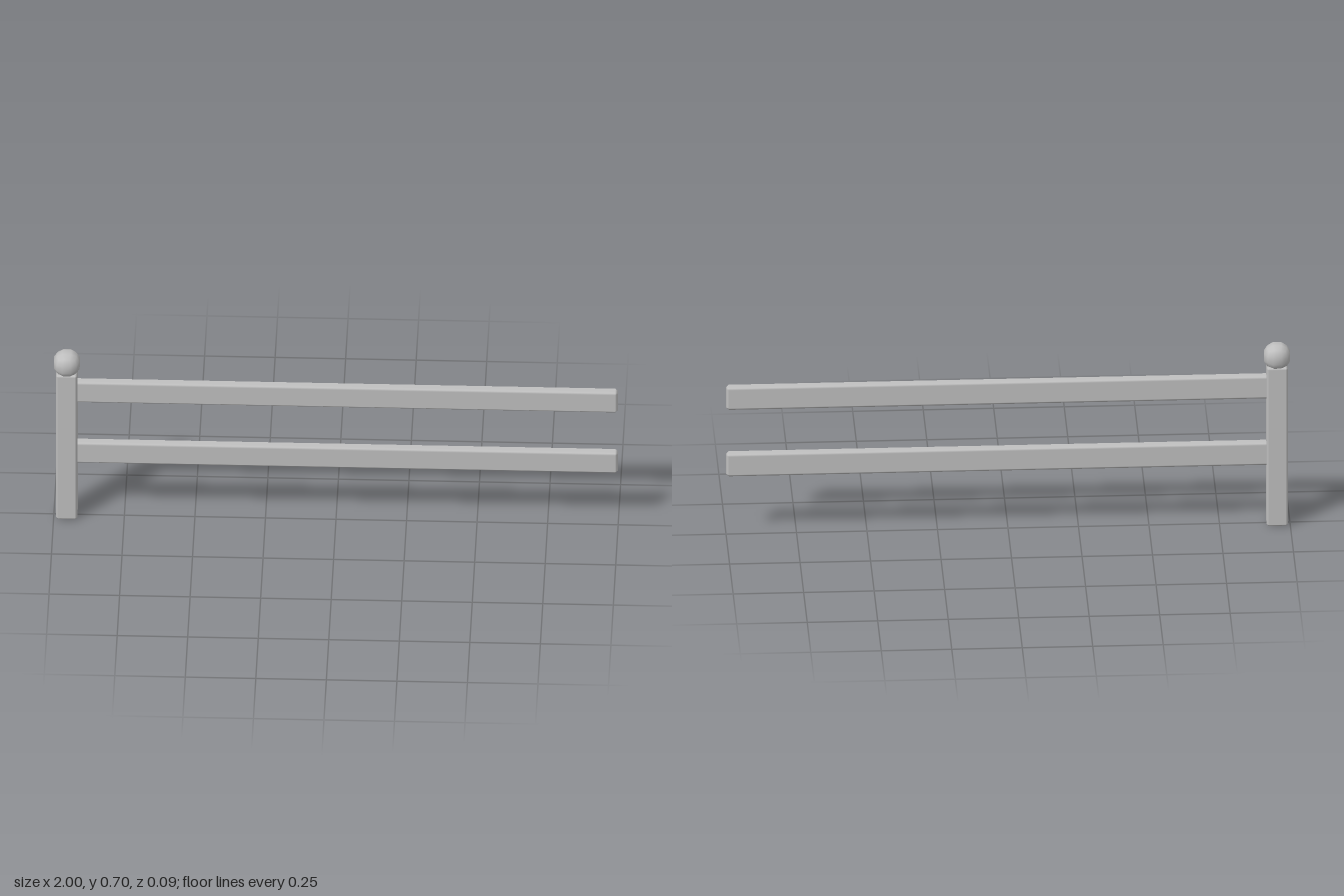
import * as THREE from 'three';
import { mergeVertices } from 'three/addons/utils/BufferGeometryUtils.js';

// Box with bevelled edges; flat faces keep straight normals, bevels shade softly
function bevelBox(w, h, d, c) {
  const geo = new THREE.BoxGeometry(1, 1, 1, 3, 3, 3);
  const pos = geo.attributes.position, nor = geo.attributes.normal;
  const half = [w / 2, h / 2, d / 2];
  for (let i = 0; i < pos.count; i++) {
    const p = [pos.getX(i), pos.getY(i), pos.getZ(i)];
    const outer = p.map(v => Math.abs(v) > 0.4);
    const n = outer.filter(Boolean).length;
    const pull = c * (n - 1) / n; // edge and corner points sink onto the bevel
    pos.setXYZ(i, ...p.map((v, k) => Math.sign(v) * (half[k] - (outer[k] ? pull : c))));
    const dir = new THREE.Vector3(...p.map((v, k) => (outer[k] ? Math.sign(v) : 0))).normalize();
    nor.setXYZ(i, dir.x, dir.y, dir.z);
  }
  return geo;
}

// Low-poly ball made by rounding a subdivided cube
function cubeBall(radius) {
  let geo = new THREE.BoxGeometry(2, 2, 2, 3, 3, 3);
  geo.deleteAttribute('uv');
  geo.deleteAttribute('normal');
  geo = mergeVertices(geo);
  const pos = geo.attributes.position, v = new THREE.Vector3();
  for (let i = 0; i < pos.count; i++) {
    v.fromBufferAttribute(pos, i).setLength(radius);
    pos.setXYZ(i, v.x, v.y, v.z);
  }
  geo.computeVertexNormals();
  return geo;
}

export function createModel() {
  const group = new THREE.Group();
  const grey = new THREE.MeshStandardMaterial({ color: 0xc0c0c0 });
  grey.name = 'grey';

  const add = (name, geo, x, y) => {
    const mesh = new THREE.Mesh(geo, grey);
    mesh.name = name;
    mesh.position.set(x, y, 0);
    group.add(mesh);
  };

  const postX = -0.954;
  add('post', bevelBox(0.076, 0.62, 0.076, 0.008), postX, 0.31);
  add('postBall', cubeBall(0.0507), postX, 0.652);

  // Two rails, their inner ends sunk into the post
  const start = -0.935, end = 1;
  for (const [name, y] of [['lowerRail', 0.275], ['upperRail', 0.535]]) {
    add(name, bevelBox(end - start, 0.09, 0.038, 0.01), (start + end) / 2, y);
  }
  return group;
}
